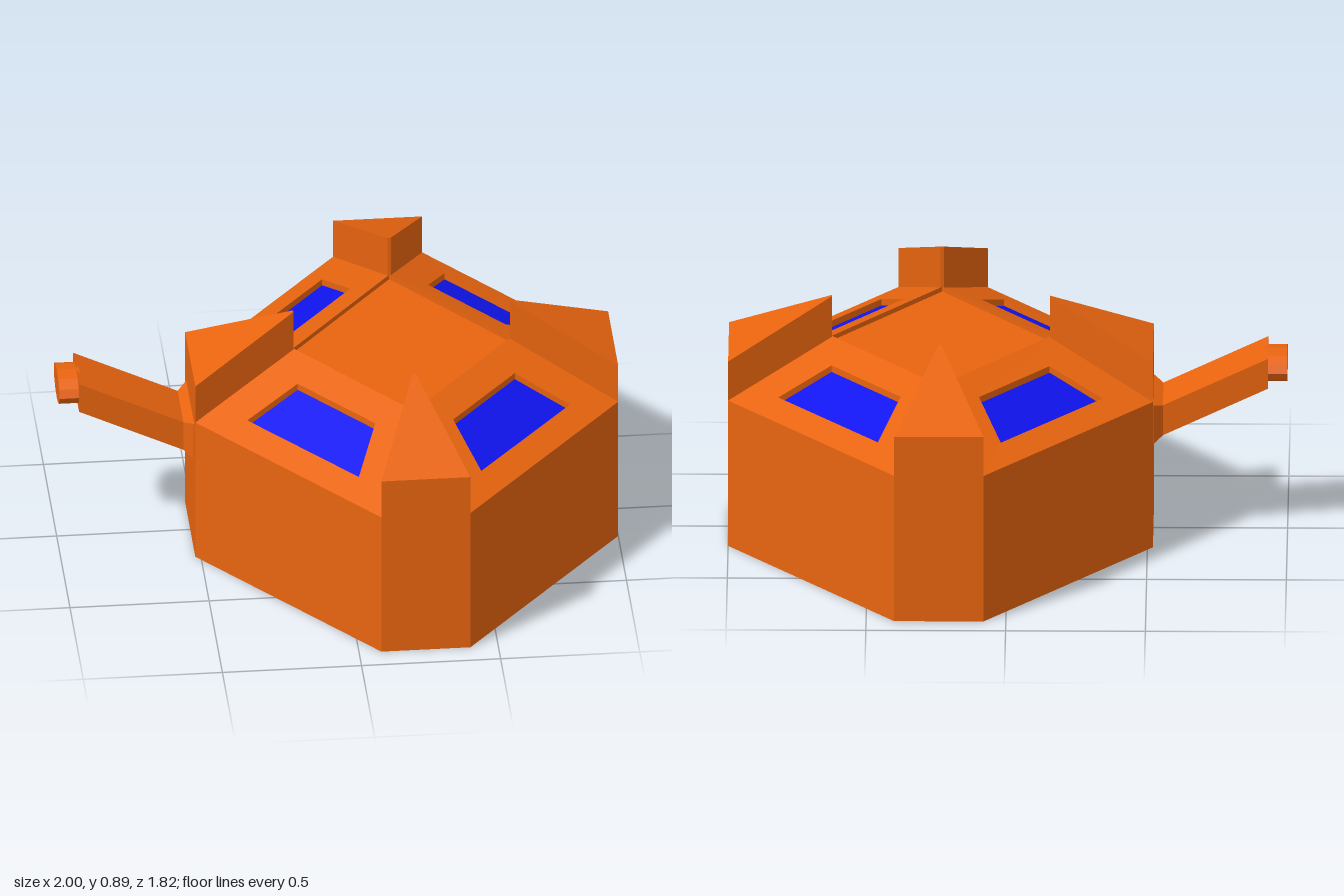
import * as THREE from 'three';

const CX = 0.24; // centre of the octagonal body
const orange = new THREE.MeshStandardMaterial({ color: 0xe8640f, flatShading: true });
const blue = new THREE.MeshStandardMaterial({ color: 0x1014ee, flatShading: true });

// Mesh from a list of convex polygons, each a counter-clockwise list of [x, y, z]
function facesMesh(name, faces, material) {
  const pos = [];
  for (const f of faces)
    for (let i = 1; i < f.length - 1; i++) pos.push(...f[0], ...f[i], ...f[i + 1]);
  const geo = new THREE.BufferGeometry();
  geo.setAttribute('position', new THREE.Float32BufferAttribute(pos, 3));
  geo.computeVertexNormals();
  const mesh = new THREE.Mesh(geo, material);
  mesh.name = name;
  return mesh;
}

// Quads joining ring a to ring b
const bridge = (a, b) => a.map((p, k) => {
  const n = (k + 1) % a.length;
  return [p, a[n], b[n], b[k]];
});

// One quarter of the body: wall, sloping panel with a recessed window, basin
function quarter(sx, sz) {
  const at = (p, y) => [p[0] * sx, y, p[1] * sz];
  const fix = (faces) => (sx * sz < 0 ? faces.map((f) => f.slice().reverse()) : faces);
  const slopeY = (p) => 0.56 + 0.433 * (0.705 - 0.768 * p[0] - 0.64 * p[1]);
  const A = [0.16, 0.91], B = [0.76, 0.19], C = [0.39, 0], D = [0, 0.475], O = [0, 0];
  const hole = [[0.22, 0.69], [0.58, 0.26], [0.39, 0.17], [0.14, 0.47]];
  const outer = [at(A, 0.56), at(B, 0.56), at(C, 0.735), at(D, 0.735)];
  const rim = hole.map((p) => at(p, slopeY(p)));
  const sunk = hole.map((p) => at(p, slopeY(p) - 0.025));
  const floorY = 0.717;
  const g = new THREE.Group();
  g.name = 'bodyQuarter';
  g.add(
    facesMesh('wall', fix([
      [at(A, 0), at(B, 0), at(B, 0.56), at(A, 0.56)],
      [at(O, 0), at(B, 0), at(A, 0)],
    ]), orange),
    facesMesh('slopingPanel', fix([...bridge(outer, rim), ...bridge(rim, sunk)]), orange),
    facesMesh('window', fix([sunk]), blue),
    facesMesh('topBasin', fix([
      [at(D, 0.735), at(C, 0.735), at(C, floorY), at(D, floorY)],
      [at(D, floorY), at(C, floorY), at(O, floorY)],
    ]), orange),
  );
  return g;
}

// Wedge-shaped corner pier, rising inwards to a narrow edge
function pier(turns) {
  const [w, r, ri] = turns % 2 ? [0.19, 0.76, 0.39] : [0.16, 0.91, 0.475];
  const e = 0.006;
  const L = (y) => [-w, y, r], R = (y) => [w, y, r];
  const l = (y) => [-e, y, ri], rr = (y) => [e, y, ri];
  const mesh = facesMesh('cornerPier', [
    [L(0), R(0), R(0.71), L(0.71)],
    [L(0.71), R(0.71), rr(0.89), l(0.89)],
    [R(0.5), rr(0.5), rr(0.89), R(0.71)],
    [l(0.5), L(0.5), L(0.71), l(0.89)],
    [rr(0.5), l(0.5), l(0.89), rr(0.89)],
    [[0, 0, 0], R(0), L(0)],
  ], orange);
  mesh.rotation.y = turns * Math.PI / 2;
  return mesh;
}

// Slanted arm with a flared root and an oval tip
function arm() {
  const g = new THREE.Group();
  g.name = 'arm';
  // x, low y, high y, half depth
  const rings = [
    [-0.51, 0.38, 0.535, 0.15], [-0.522, 0.382, 0.53, 0.15],
    [-0.555, 0.4, 0.515, 0.11], [-0.93, 0.58, 0.695, 0.11],
  ].map(([x, lo, hi, h]) => [[x, lo, -h], [x, lo, h], [x, hi, h], [x, hi, -h]]);
  const faces = [rings[3]];
  for (let i = 0; i < 3; i++) faces.push(...bridge(rings[i], rings[i + 1]));
  const tip = new THREE.Mesh(new THREE.CylinderGeometry(1, 1, 1, 12), orange);
  tip.name = 'armTip';
  tip.rotation.z = Math.PI / 2;
  tip.scale.set(0.0575, 0.08, 0.11);
  tip.position.set(-0.96, 0.6375, 0);
  g.add(facesMesh('armBeam', faces, orange), tip);
  return g;
}

export function createModel() {
  const model = new THREE.Group();
  const body = new THREE.Group();
  body.name = 'body';
  body.position.x = CX;
  for (const sx of [1, -1]) for (const sz of [1, -1]) body.add(quarter(sx, sz));
  for (let k = 0; k < 4; k++) body.add(pier(k));
  model.add(body, arm());
  return model;
}
